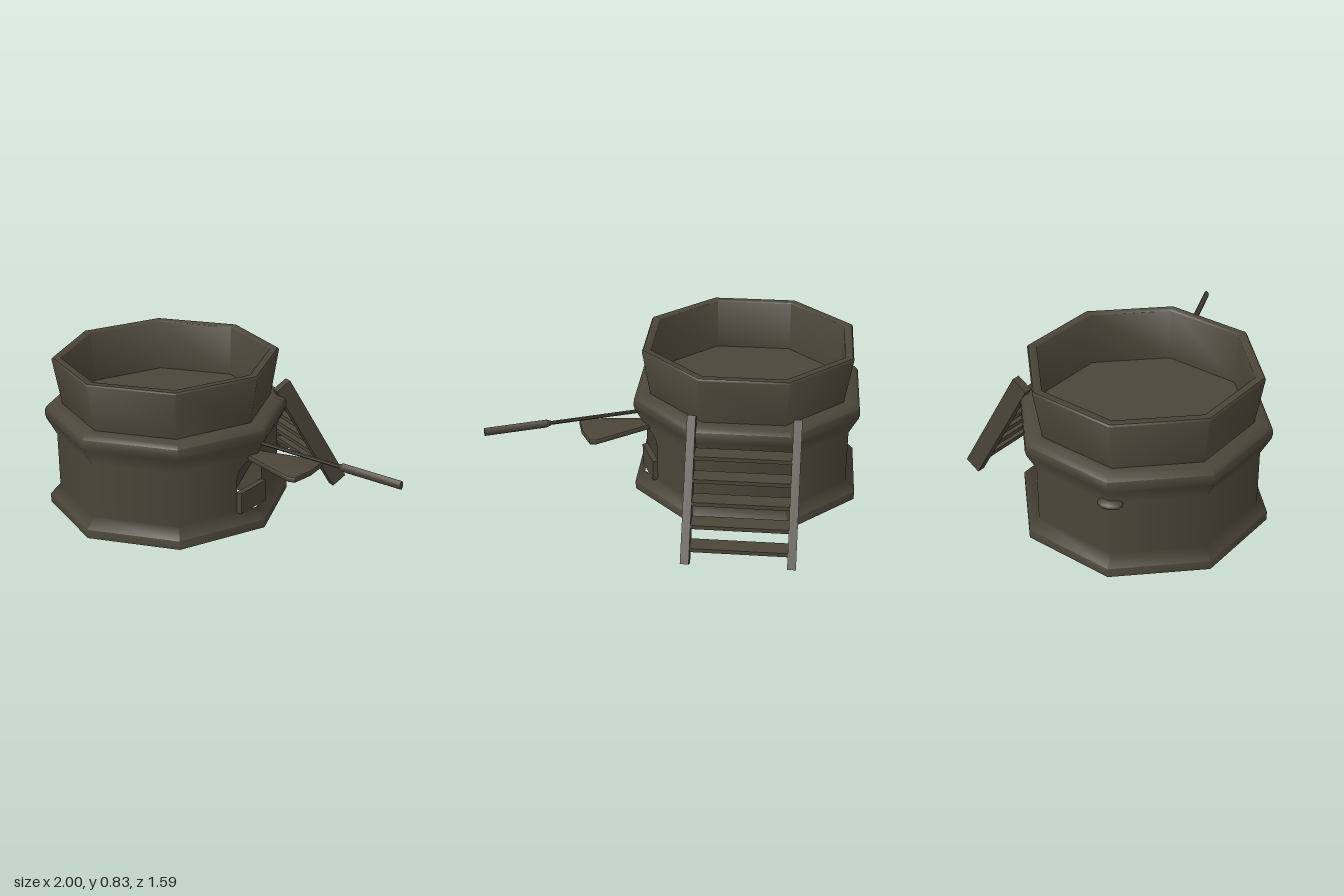
import * as THREE from 'three';
import { toCreasedNormals } from 'three/addons/utils/BufferGeometryUtils.js';

const V2 = (p) => new THREE.Vector2(p[0], p[1]);

export function createModel() {
  const wood = new THREE.MeshStandardMaterial({ color: 0x4b4539 });
  wood.name = 'dark wood';
  const woodOpen = new THREE.MeshStandardMaterial({ color: 0x4b4539, side: THREE.DoubleSide });
  woodOpen.name = 'dark wood open';

  const model = new THREE.Group();
  model.name = 'octagonalTub';
  const tower = new THREE.Group(); // origin on the axis of the tub
  tower.name = 'tower';
  tower.position.set(-0.382, 0, 0.17);
  model.add(tower);

  const add = (parent, name, geometry, x = 0, y = 0, z = 0, material = wood) => {
    const mesh = new THREE.Mesh(geometry, material);
    mesh.name = name;
    mesh.position.set(x, y, z);
    parent.add(mesh);
    return mesh;
  };
  const lathe = (points, start = 0, sides = 8) =>
    new THREE.LatheGeometry(points.map(V2), sides, start, sides * Math.PI / 4);
  // Soft shading around the axis, on the wall and where base and collar meet it
  const R = 0.565, wallBottom = 0.14, wallTop = 0.42;
  const blendWall = (g) => {
    const p = g.attributes.position, n = g.attributes.normal;
    for (let i = 0; i < p.count; i++) {
      const r = Math.hypot(p.getX(i), p.getZ(i)), y = p.getY(i);
      if (r < R + 0.001 && r > 0.5 && y < wallTop + 0.001) n.setXYZ(i, p.getX(i) / r, 0, p.getZ(i) / r);
    }
    return g;
  };

  // Flared foot
  add(tower, 'base', blendWall(toCreasedNormals(lathe([
    [0.617, 0.043], [0.617, 0.088], [R, wallBottom]]), 0.9)));

  // Hollow underside with central boss
  add(tower, 'underside', toCreasedNormals(lathe([
    [0, 0.09], [0.19, 0.09], [0.21, 0.14], [0.465, 0.14]]), 0.5));
  add(tower, 'undersideSlope', lathe([[0.465, 0.14], [0.617, 0.043]]));

  // Collar and open basin
  add(tower, 'collarAndBasin', blendWall(toCreasedNormals(lathe([
    [R, wallTop], [0.614, 0.51], [0.62, 0.535], [0.616, 0.565], [0.598, 0.584], [0.53, 0.584],
    [0.57, 0.822], [0.564, 0.83], [0.527, 0.83], [0.522, 0.825], [0.515, 0.562], [0, 0.562]]), 0.9)));

  // Six plain wall sides
  add(tower, 'wall', blendWall(lathe([[R, wallBottom], [R, wallTop]], Math.PI * 0.75, 6)));

  // Two wall sides sharing the arched niche at their common corner
  const side = 2 * R * Math.sin(Math.PI / 8), half = 0.108, spring = 0.31, rise = 0.095;
  const bend = (u) => [R - Math.abs(u) * Math.sin(Math.PI / 8), -u * Math.cos(Math.PI / 8)];
  const arch = (t) => [
    half * Math.sign(t) * Math.abs(Math.sin(t)) ** 0.8, spring + rise * Math.cos(t)];
  for (const k of [-1, 1]) {
    const pts = [[k * half, wallBottom], [k * side, wallBottom], [k * side, wallTop], [0, wallTop]];
    for (let i = 0; i <= 6; i++) pts.push(arch(k * i * Math.PI / 12));
    const g = new THREE.ShapeGeometry(new THREE.Shape(pts.map(V2)));
    const p = g.attributes.position;
    for (let i = 0; i < p.count; i++) {
      const [x, z] = bend(p.getX(i));
      p.setXYZ(i, x, p.getY(i), z);
    }
    add(tower, 'nicheWall', blendWall(g));
  }

  // Hollow of the niche: side reveals and a back that leans in towards the bottom
  const niche = new THREE.PlaneGeometry(1, 1, 14, 2);
  const np = niche.attributes.position;
  for (let i = 0; i < np.count; i++) {
    const col = i % 15, row = Math.floor(i / 15);
    let [u, y] = arch((col - 7) * Math.PI / 12);
    if (col === 0 || col === 14) [u, y] = [col ? half : -half, wallBottom];
    const [x, z] = bend(u);
    const back = 0.51 - 0.15 * (spring + rise - y) / (spring + rise - wallBottom);
    if (row === 0) np.setXYZ(i, x, y, z);
    else if (row === 1) np.setXYZ(i, back, y, z);
    else np.setXYZ(i, 0.36, wallBottom, 0);
  }
  add(tower, 'niche', toCreasedNormals(niche, 0.7), 0, 0, 0, woodOpen);
  add(tower, 'nichePanel', new THREE.BoxGeometry(0.03, 0.11, 0.2), 0.534, 0.19, 0);

  // Fan-shaped ledge above the niche
  const fan = new THREE.Shape([
    [0.55, -0.03], [0.62, -0.05], [0.845, -0.112], [0.867, -0.105], [0.88, 0],
    [0.867, 0.105], [0.845, 0.112], [0.62, 0.05], [0.55, 0.03]].map(V2));
  const ledge = new THREE.ExtrudeGeometry(fan, {
    depth: 0.008, bevelThickness: 0.012, bevelSize: 0.014, bevelSegments: 2 });
  ledge.translate(0, 0, -0.004).rotateX(-Math.PI / 2);
  add(tower, 'ledge', toCreasedNormals(ledge, 0.7), 0, 0.417, 0);

  // Small knob on the opposite corner
  add(tower, 'knob', new THREE.SphereGeometry(1, 12, 8), -0.565, 0.42, 0).scale.set(0.04, 0.022, 0.06);

  // Pole with a thicker grip
  const rod = (name, x0, x1, ry, rz, startScale = 1) => {
    const g = new THREE.CylinderGeometry(startScale, 1, x1 - x0, 8).rotateZ(Math.PI / 2).scale(1, ry, rz);
    add(tower, name, toCreasedNormals(g, 0.9), (x0 + x1) / 2, 0.495, 0);
  };
  rod('poleShaft', 0.55, 1.05, 0.01, 0.01);
  rod('poleTaper', 1.045, 1.07, 0.022, 0.014, 0.5);
  rod('poleGrip', 1.07, 1.382, 0.022, 0.014);

  // Ladder leaning on one of the rear sides
  const ladder = new THREE.Group();
  ladder.name = 'ladder';
  ladder.rotation.y = -Math.PI / 8;
  tower.add(ladder);
  const lean = 0.532;
  for (const k of [-1, 1]) {
    add(ladder, 'ladderRail', new THREE.BoxGeometry(0.042, 0.712, 0.09),
      -0.01 + k * 0.255, 0.329, -0.708).rotation.x = lean;
  }
  for (let i = 0; i < 5; i++) {
    const y = 0.1 + i * 0.0945;
    add(ladder, 'ladderTread', new THREE.BoxGeometry(0.48, 0.02, 0.09),
      -0.01, y, -0.708 + (y - 0.329) * Math.tan(lean));
  }
  return model;
}
